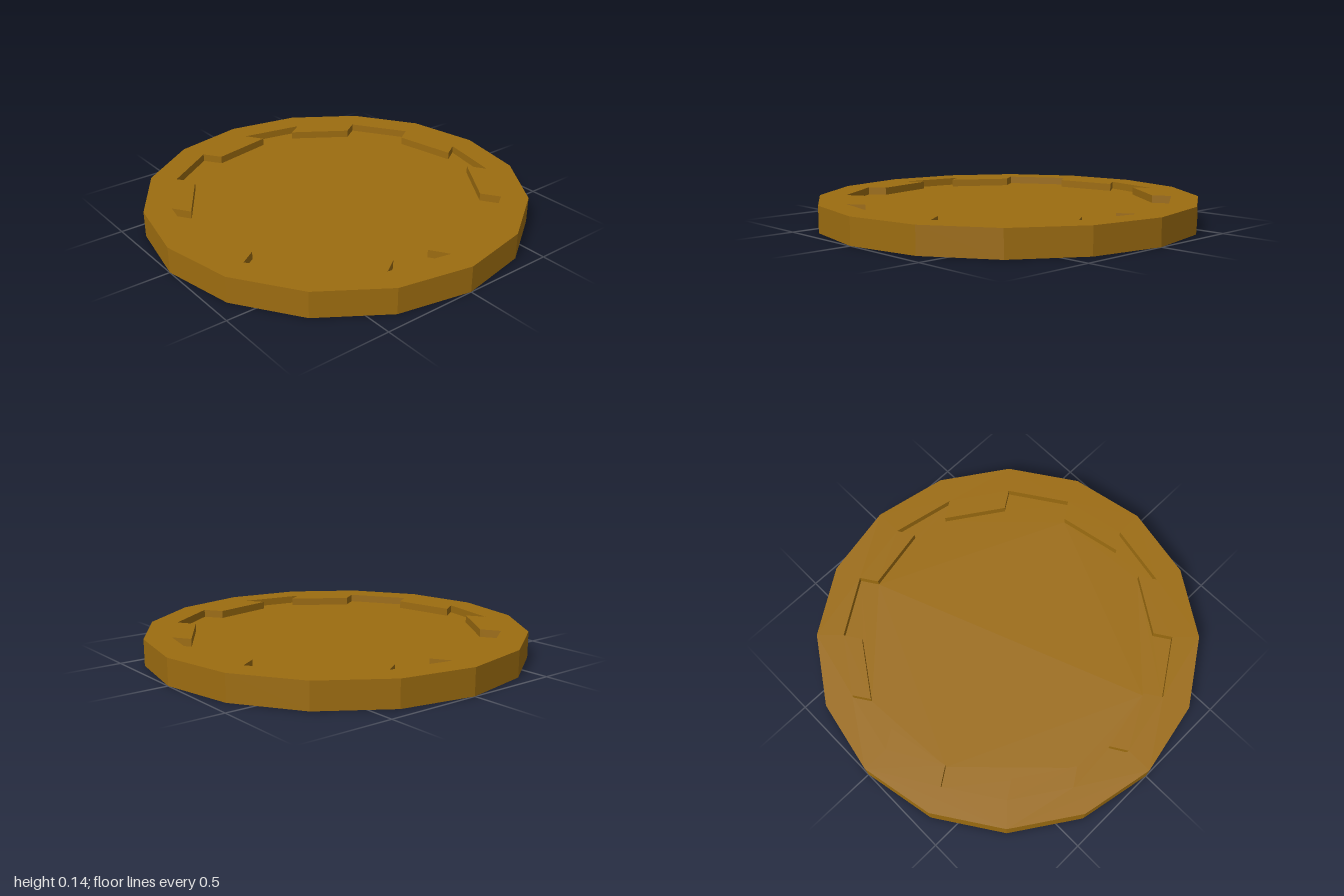
import * as THREE from 'three';

const HEIGHT = 0.137; // full thickness of the coin
const RECESS = 0.04;  // depth of the sunken face on each side

// Half of the jagged recess outline as [x, z]; the other half is its 180 degree turn
const HALF_OUTLINE = [
  [0, -0.86], [0.33, -0.793], [0.24, -0.733], [0.517, -0.548],
  [0.608, -0.608], [0.793, -0.33], [0.703, -0.268], [0.767, 0.06],
  [0.86, 0], [0.793, 0.33], [0.738, 0.248], [0.553, 0.525],
  [0.608, 0.608], [0.33, 0.793], [0.275, 0.71], [-0.052, 0.776],
];

// Extrudes a shape drawn in x/z upwards from y0 to y1
function slab(name, shape, y0, y1, material) {
  const geometry = new THREE.ExtrudeGeometry(shape, { depth: y1 - y0, bevelEnabled: false });
  geometry.rotateX(Math.PI / 2).translate(0, y1, 0);
  const mesh = new THREE.Mesh(geometry, material);
  mesh.name = name;
  return mesh;
}

export function createModel() {
  const group = new THREE.Group();
  group.name = 'coin';
  const material = new THREE.MeshStandardMaterial({ color: 0x9c6c10, flatShading: true });

  const outline = [...HALF_OUTLINE, ...HALF_OUTLINE.map(([x, z]) => [-x, -z])]
    .map(([x, z]) => new THREE.Vector2(x, z));

  // Sixteen-sided rim with the jagged opening
  const corners = [];
  for (let i = 0; i < 16; i++) {
    const a = (i / 16) * Math.PI * 2;
    corners.push(new THREE.Vector2(Math.cos(a), Math.sin(a)));
  }
  const rim = new THREE.Shape(corners);
  rim.holes.push(new THREE.Path(outline));
  group.add(slab('rim', rim, 0, HEIGHT, material));

  // Sunken plate, set back from both faces
  group.add(slab('recessedPlate', new THREE.Shape(outline), RECESS, HEIGHT - RECESS, material));

  return group;
}
